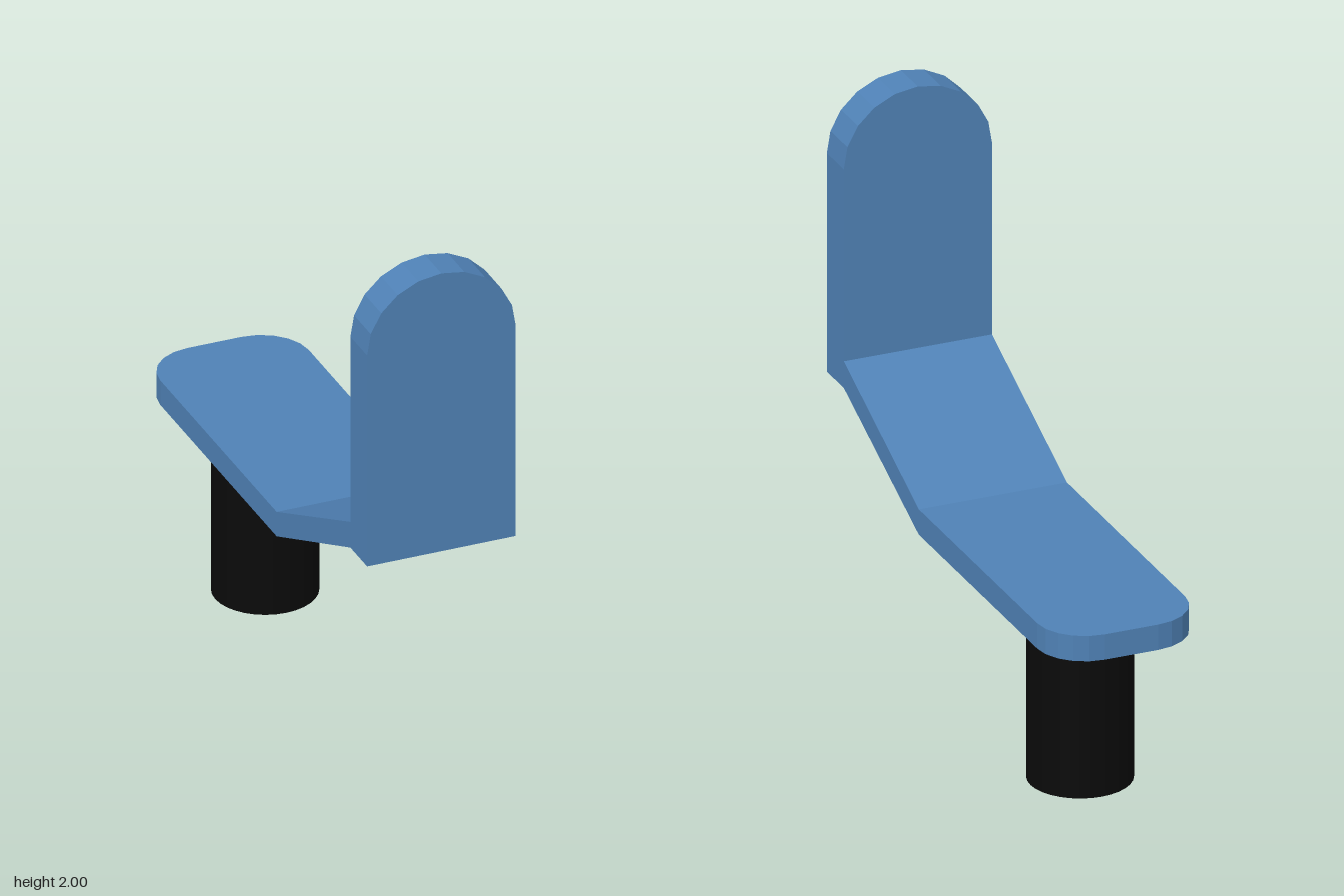
import * as THREE from 'three';

const HALF_WIDTH = 0.275;

// Plate outline: square at the base, rounded corners (rx, ry) at the far end
function roundedEnd(base, end, rx, ry, segments = 5) {
  const pts = [new THREE.Vector2(-HALF_WIDTH, base), new THREE.Vector2(HALF_WIDTH, base)];
  const cx = HALF_WIDTH - rx;
  for (const side of [1, -1]) {
    for (let i = 0; i <= segments; i++) {
      const a = (side > 0 ? i : segments - i) / segments * Math.PI / 2;
      if (side < 0 && i === 0 && cx === 0) continue; // the two corners meet in one point
      pts.push(new THREE.Vector2(side * (cx + rx * Math.cos(a)), end - ry + ry * Math.sin(a)));
    }
  }
  return new THREE.Shape(pts);
}

function extrude(shape, depth) {
  return new THREE.ExtrudeGeometry(shape, { depth, bevelEnabled: false });
}

export function createModel() {
  const model = new THREE.Group();
  const blue = new THREE.MeshStandardMaterial({ color: 0x4f81b5 });
  const black = new THREE.MeshStandardMaterial({ color: 0x0a0a0a });

  const add = (name, geometry, material) => {
    const mesh = new THREE.Mesh(geometry, material);
    mesh.name = name;
    model.add(mesh);
  };

  // Upright plate with an arched top
  add('uprightPlate', extrude(roundedEnd(0.92, 2, HALF_WIDTH, 0.26), 0.145).translate(0, 0, 0.84), blue);

  // Flat plate with two rounded corners at the back
  add('flatPlate', extrude(roundedEnd(-0.2, 0.985, 0.175, 0.175), 0.095)
    .rotateX(-Math.PI / 2).translate(0, 0.64, 0), blue);

  // Sloping web joining the plates, drawn as a side profile (z, y)
  const profile = new THREE.Shape([
    new THREE.Vector2(0.2, 0.64),
    new THREE.Vector2(0.84, 0.92),
    new THREE.Vector2(0.84, 1.02),
    new THREE.Vector2(0.2, 0.735),
  ]);
  add('slopingWeb', extrude(profile, HALF_WIDTH * 2)
    .rotateY(-Math.PI / 2).translate(HALF_WIDTH, 0, 0), blue);

  // Round post under the flat plate
  add('post', new THREE.CylinderGeometry(0.185, 0.185, 0.64, 32).translate(0, 0.32, -0.545), black);

  return model;
}
